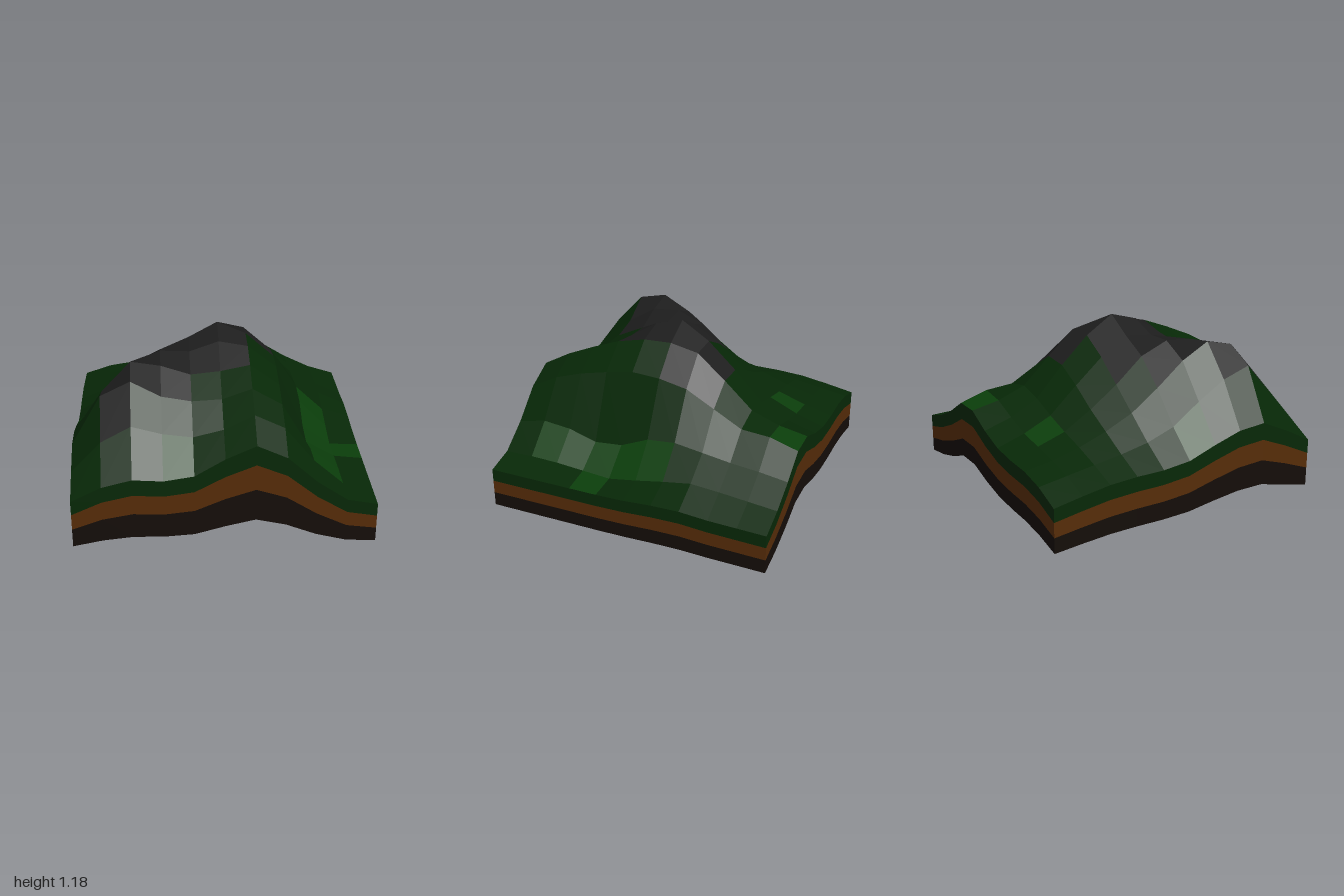
import * as THREE from 'three';

const N = 10; // cells per side
// Ground height cross-sections, one per row from back (z = -1) to front (z = 1)
const ROWS = [
  [0.335, 0.40, 0.43, 0.43, 0.445, 0.50, 0.582, 0.575, 0.45, 0.35, 0.285],
  [0.37, 0.43, 0.46, 0.485, 0.51, 0.56, 0.62, 0.635, 0.48, 0.37, 0.29],
  [0.40, 0.46, 0.51, 0.55, 0.60, 0.66, 0.695, 0.65, 0.50, 0.39, 0.295],
  [0.41, 0.49, 0.58, 0.67, 0.78, 0.87, 0.88, 0.76, 0.53, 0.405, 0.31],
  [0.41, 0.53, 0.67, 0.81, 0.95, 1.055, 1.05, 0.87, 0.56, 0.37, 0.305],
  [0.43, 0.60, 0.81, 0.98, 1.07, 1.18, 1.09, 0.91, 0.54, 0.33, 0.29],
  [0.50, 0.74, 0.97, 1.06, 1.05, 1.12, 1.08, 0.92, 0.45, 0.295, 0.285],
  [0.56, 0.86, 1.075, 1.04, 0.97, 0.99, 1.03, 0.88, 0.43, 0.31, 0.285],
  [0.575, 0.925, 1.025, 0.91, 0.87, 0.88, 0.95, 0.83, 0.49, 0.325, 0.285],
  [0.48, 0.69, 0.80, 0.74, 0.71, 0.76, 0.86, 0.76, 0.51, 0.33, 0.285],
  [0.37, 0.47, 0.52, 0.505, 0.535, 0.655, 0.745, 0.65, 0.465, 0.325, 0.285],
];
// Ground cover per cell: g grass, l light grass, r rock
const COVER = [
  'gggggglggg',
  'ggglgggggg',
  'gggggggggg',
  'gggggrrggg',
  'gggrrrrglg',
  'lgrrrrgglg',
  'ggrrrrggll',
  'grrrgggglg',
  'grgggggglg',
  'ggglgggggg',
];
// Height of each layer boundary, from the ground's rise d above its lowest level
const LEVELS = {
  underside: (d, z) => (0.43 - 0.1 * z) * d + 0.2 * d * d,
  bedrock: (d) => 0.1 + 0.7 * d,
  soil: (d) => 0.195 + 0.89 * d,
  ground: (d) => 0.285 + d,
};

function point(i, j, level) {
  const z = (j / N) * 2 - 1;
  return new THREE.Vector3((i / N) * 2 - 1, LEVELS[level](ROWS[j][i] - 0.285, z), z);
}

// Mesh of four-cornered patches, corners anticlockwise, each patch shaded as one facet
function patchMesh(name, color, patches) {
  const pos = [];
  const nor = [];
  for (const [a, b, c, d] of patches) {
    const n = c.clone().sub(a).cross(d.clone().sub(b)).normalize();
    for (const p of [a, b, d, b, c, d]) {
      pos.push(p.x, p.y, p.z);
      nor.push(n.x, n.y, n.z);
    }
  }
  const geo = new THREE.BufferGeometry();
  geo.setAttribute('position', new THREE.Float32BufferAttribute(pos, 3));
  geo.setAttribute('normal', new THREE.Float32BufferAttribute(nor, 3));
  const mesh = new THREE.Mesh(geo, new THREE.MeshStandardMaterial({ color }));
  mesh.name = name;
  return mesh;
}

// Walls of one layer, all the way round the rim
function layerWalls(name, color, low, high) {
  const rim = [];
  for (let k = 0; k < N; k++) rim.push([k, N]);
  for (let k = N; k > 0; k--) rim.push([N, k]);
  for (let k = N; k > 0; k--) rim.push([k, 0]);
  for (let k = 0; k < N; k++) rim.push([0, k]);
  const patches = rim.map((p, n) => {
    const q = rim[(n + 1) % rim.length];
    return [point(...p, low), point(...q, low), point(...q, high), point(...p, high)];
  });
  return patchMesh(name, color, patches);
}

export function createModel() {
  const group = new THREE.Group();
  group.name = 'terrainBlock';

  // Ground, sorted by cover, and the hollow underside
  const ground = { g: [], l: [], r: [] };
  const underside = [];
  for (let j = 0; j < N; j++) {
    for (let i = 0; i < N; i++) {
      const cell = [[i, j], [i, j + 1], [i + 1, j + 1], [i + 1, j]];
      ground[COVER[j][i]].push(cell.map((p) => point(...p, 'ground')));
      const [a, b, c, d] = cell.map((p) => point(...p, 'underside'));
      underside.push([a, d, c, b]);
    }
  }
  group.add(
    patchMesh('grass', 0x072807, ground.g),
    patchMesh('lightGrass', 0x0b3e0b, ground.l),
    patchMesh('rock', 0x1e1e1e, ground.r),
    patchMesh('underside', 0x140d09, underside),
  );

  // Layers of the cut sides
  group.add(
    layerWalls('bedrockLayer', 0x140d09, 'underside', 'bedrock'),
    layerWalls('soilLayer', 0x562c08, 'bedrock', 'soil'),
    layerWalls('turfLayer', 0x072807, 'soil', 'ground'),
  );
  return group;
}
